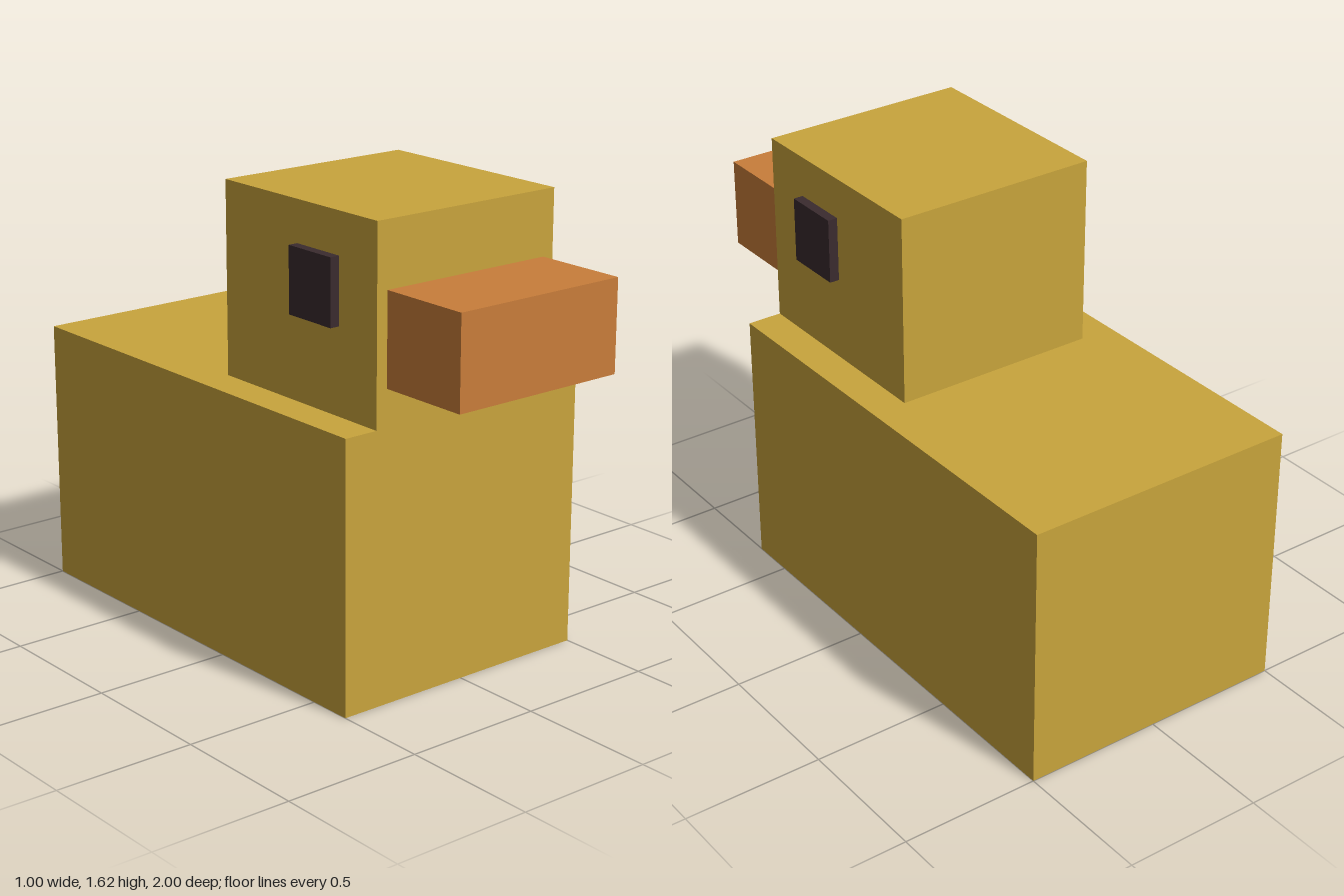
import * as THREE from 'three';

function flat(name, color) {
  const material = new THREE.MeshStandardMaterial({ color });
  material.name = name;
  return material;
}

// Box given by its lower and upper corners
function block(name, material, [x0, y0, z0], [x1, y1, z1]) {
  const mesh = new THREE.Mesh(new THREE.BoxGeometry(x1 - x0, y1 - y0, z1 - z0), material);
  mesh.position.set((x0 + x1) / 2, (y0 + y1) / 2, (z0 + z1) / 2);
  mesh.name = name;
  return mesh;
}

export function createModel() {
  const yellow = flat('yellow', 0xc8a43c);
  const orange = flat('orange', 0xc87d3a);
  const dark = flat('dark brown', 0x3a2b2e);

  const duck = new THREE.Group();
  duck.name = 'duck';

  // Body, head and beak, with head and body flush at the front
  duck.add(
    block('body', yellow, [-0.5, 0, -1], [0.5, 0.95, 0.66]),
    block('head', yellow, [-0.375, 0.95, -0.115], [0.375, 1.625, 0.66]),
    block('beak', orange, [-0.333, 1.08, 0.66], [0.333, 1.4, 1])
  );

  // Eyes standing out from the sides of the head
  duck.add(
    block('leftEye', dark, [0.375, 1.25, 0.264], [0.41, 1.48, 0.475]),
    block('rightEye', dark, [-0.41, 1.25, 0.264], [-0.375, 1.48, 0.475])
  );
  return duck;
}
